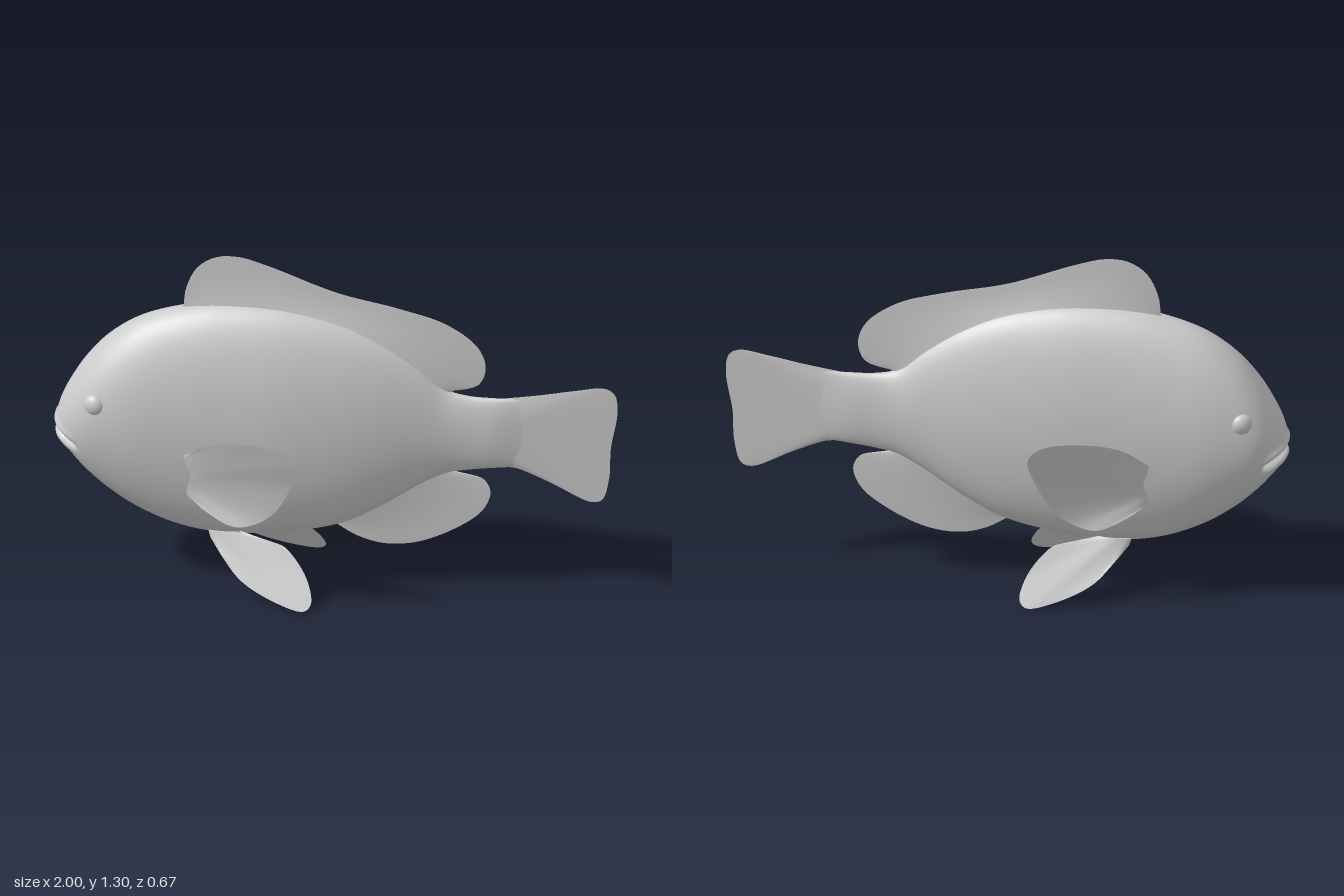
import * as THREE from 'three';
import { mergeGeometries, mergeVertices } from 'three/addons/utils/BufferGeometryUtils.js';

const material = new THREE.MeshStandardMaterial({ color: 0xcccccc, side: THREE.DoubleSide });
const curve = (pts, type = 'centripetal') =>
  new THREE.CatmullRomCurve3(pts.map(([x, y, z = 0]) => new THREE.Vector3(x, y, z)), false, type);

function addMesh(parent, name, geometry) {
  const mesh = new THREE.Mesh(geometry, material);
  mesh.name = name;
  parent.add(mesh);
  return mesh;
}

// Move the vertices of a unit grid by a rule (u, v in 0..1)
function surface(rule, nu, nv) {
  const g = new THREE.PlaneGeometry(1, 1, nu, nv);
  const pos = g.attributes.position;
  for (let i = 0; i < pos.count; i++) {
    const p = rule(pos.getX(i) + 0.5, pos.getY(i) + 0.5);
    pos.setXYZ(i, p.x, p.y, p.z);
  }
  g.deleteAttribute('uv');
  g.deleteAttribute('normal');
  return g;
}

// Fin: two thin sheets between a root curve and an outer edge, thickest at the root
function finGeometry(root, edge, thick) {
  const a = curve(root), b = curve(edge);
  const sheets = [1, -1].map((side) => {
    const g = surface((u, v) => {
      const s = side > 0 ? u : 1 - u;
      const p = a.getPointAt(s).lerp(b.getPointAt(s), v);
      const ends = Math.pow(Math.max(0, Math.sin(Math.PI * s)), 0.4);
      p.z += side * ends * (thick * (1 - v) ** 2 + 0.004 * Math.sqrt(Math.max(0, 1 - v)));
      return p;
    }, 72, 14);
    g.computeVertexNormals();
    return g;
  });
  return mergeGeometries(sheets);
}

// Body stations from nose to tail: x, belly height, back height, half width
const stations = [
  [-0.995, 0.6, 0.6, 0], [-0.99, 0.565, 0.65, 0.04], [-0.975, 0.53, 0.7, 0.075],
  [-0.945, 0.49, 0.765, 0.105], [-0.89, 0.425, 0.857, 0.14], [-0.81, 0.35, 0.952, 0.161],
  [-0.7, 0.275, 1.032, 0.174], [-0.56, 0.215, 1.085, 0.175], [-0.4, 0.19, 1.115, 0.172],
  [-0.2, 0.205, 1.115, 0.166], [0, 0.25, 1.075, 0.142], [0.15, 0.33, 1.01, 0.113],
  [0.28, 0.42, 0.92, 0.08], [0.38, 0.48, 0.825, 0.056], [0.46, 0.5, 0.8, 0.042],
  [0.56, 0.515, 0.797, 0.032], [0.65, 0.525, 0.8, 0.015], [0.72, 0.53, 0.8, 0.002],
];

function bodyGeometry() {
  const middle = curve(stations.map(([x, lo, hi]) => [x, (lo + hi) / 2]), 'catmullrom');
  const half = curve(stations.map(([, lo, hi, w]) => [(hi - lo) / 2, w]), 'catmullrom');
  const g = surface((u, v) => {
    const p = middle.getPoint(u), h = half.getPoint(u), t = v * Math.PI * 2;
    p.y += h.x * Math.sin(t);
    p.z = h.y * Math.cos(t);
    // Mouth groove with a lip above and below, fading out along the cheek
    const d = p.y - (0.6 - 0.6 * (p.x + 1));
    const fade = 1 - THREE.MathUtils.smoothstep(p.x, -0.95, -0.9);
    const groove = fade * Math.exp(-((d / 0.012) ** 2));
    const lip = fade * Math.exp(-(((Math.abs(d) - 0.028) / 0.017) ** 2));
    p.x += 0.03 * groove - 0.008 * lip;
    p.z *= 1 - 0.1 * groove + 0.05 * lip;
    return p;
  }, 136, 112);
  const welded = mergeVertices(g, 1e-5);
  welded.computeVertexNormals();
  return welded;
}

export function createModel() {
  const fish = new THREE.Group();
  fish.name = 'fish';
  addMesh(fish, 'body', bodyGeometry());

  // Fins on the centre line
  addMesh(fish, 'dorsalFin', finGeometry(
    [[-0.53, 1.07], [-0.3, 1.09], [-0.1, 1.075], [0.1, 1.01], [0.25, 0.915], [0.4, 0.79]],
    [[-0.545, 1.09], [-0.535, 1.17], [-0.495, 1.255], [-0.43, 1.3], [-0.35, 1.307], [-0.25, 1.28],
      [0, 1.187], [0.22, 1.138], [0.39, 1.085], [0.5, 1], [0.528, 0.92], [0.505, 0.85],
      [0.45, 0.825], [0.38, 0.815]], 0.026));
  addMesh(fish, 'analFin', finGeometry(
    [[0, 0.27], [0.1, 0.32], [0.2, 0.38], [0.3, 0.45], [0.41, 0.51]],
    [[-0.01, 0.25], [0.075, 0.2], [0.17, 0.177], [0.28, 0.19], [0.41, 0.25], [0.515, 0.335],
      [0.545, 0.415], [0.52, 0.465], [0.465, 0.482], [0.39, 0.49]], 0.018));
  addMesh(fish, 'tailFin', finGeometry(
    [[0.56, 0.79], [0.57, 0.66], [0.56, 0.525]],
    [[0.58, 0.797], [0.72, 0.822], [0.85, 0.85], [0.95, 0.866], [0.985, 0.845], [0.996, 0.775],
      [0.972, 0.62], [0.966, 0.5], [0.94, 0.41], [0.9, 0.4], [0.77, 0.462], [0.65, 0.515],
      [0.58, 0.522]], 0.016));

  // Paired parts: built on the left (+z) and mirrored
  const pectoral = finGeometry(
    [[-0.535, 0.575, 0.16], [-0.5, 0.5, 0.155], [-0.53, 0.41, 0.135]],
    [[-0.525, 0.575, 0.172], [-0.42, 0.67, 0.235], [-0.28, 0.715, 0.295], [-0.155, 0.712, 0.332],
      [-0.108, 0.665, 0.332], [-0.13, 0.545, 0.285], [-0.19, 0.415, 0.242], [-0.26, 0.35, 0.22],
      [-0.34, 0.328, 0.212], [-0.43, 0.36, 0.187], [-0.525, 0.42, 0.148]], 0.008);
  const pelvic = finGeometry(
    [[-0.45, 0.225, 0.06], [-0.4, 0.23, 0.065], [-0.34, 0.23, 0.07]],
    [[-0.44, 0.2, 0.075], [-0.39, 0.15, 0.125], [-0.32, 0.085, 0.17], [-0.2, 0.03, 0.207],
      [-0.09, 0.008, 0.225], [-0.066, 0.03, 0.21], [-0.085, 0.1, 0.163], [-0.145, 0.175, 0.118],
      [-0.19, 0.203, 0.1], [-0.27, 0.198, 0.1], [-0.34, 0.21, 0.085]], 0.014);
  const eye = new THREE.SphereGeometry(0.038, 32, 20);
  eye.scale(1, 1.03, 0.75).rotateY(-0.35).translate(-0.845, 0.743, 0.132);

  for (const [side, sign] of [['left', 1], ['right', -1]]) {
    const half = new THREE.Group();
    half.name = side === 'left' ? 'nearSide' : 'farSide';
    addMesh(half, 'pectoralFin', pectoral);
    addMesh(half, 'pelvicFin', pelvic);
    addMesh(half, 'eye', eye);
    half.scale.z = sign;
    fish.add(half);
  }
  return fish;
}
